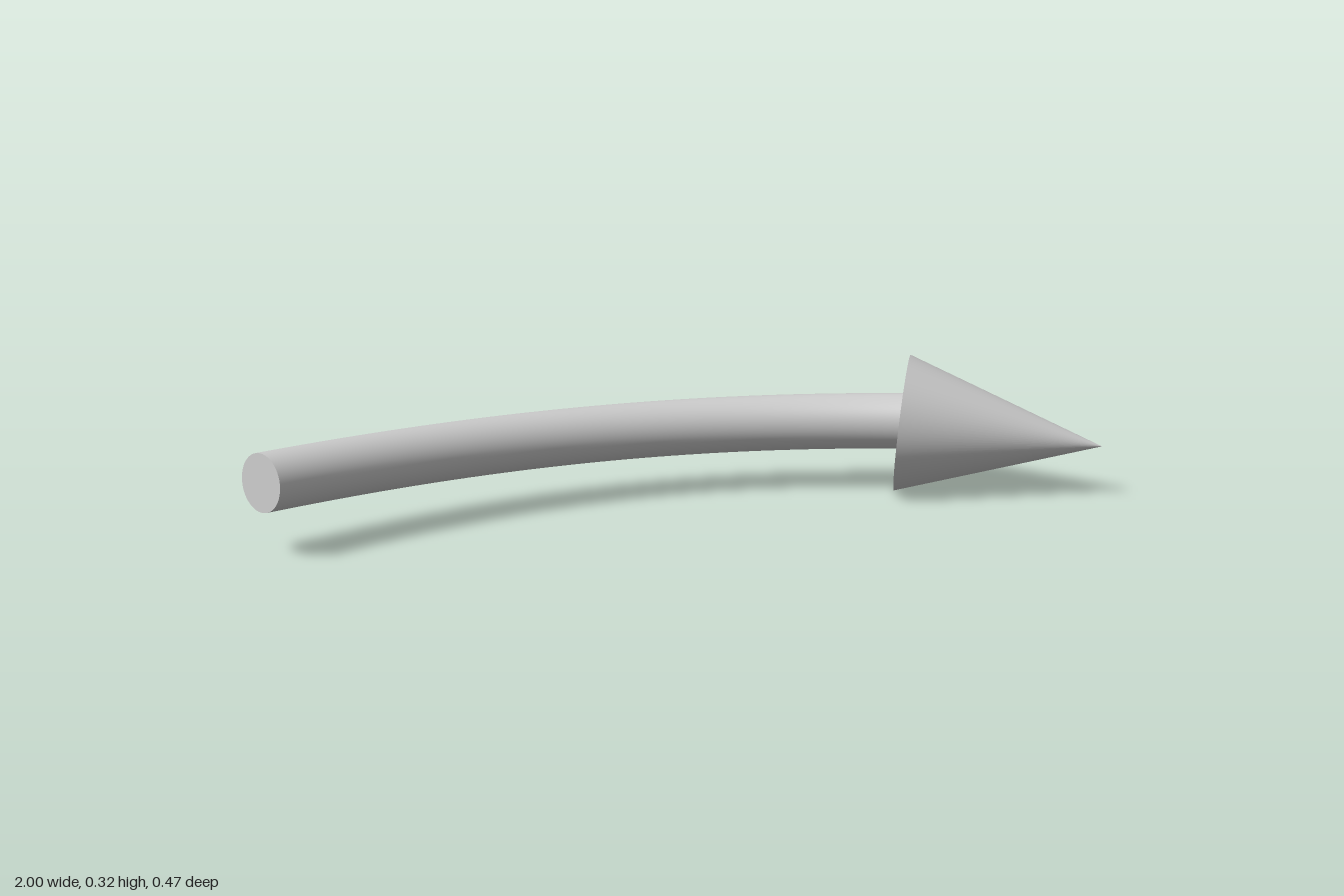
import * as THREE from 'three';

export function createModel() {
  const model = new THREE.Group();
  model.name = 'curvedArrow';
  const material = new THREE.MeshStandardMaterial({ color: 0xcccccc });

  const add = (name, geometry, position, target) => {
    const mesh = new THREE.Mesh(geometry, material);
    mesh.name = name;
    if (position) {
      mesh.position.copy(position);
      mesh.lookAt(target);
    }
    model.add(mesh);
    return mesh;
  };

  // Bowed round shaft, its front end sunk slightly into the head
  const radius = 0.066;
  const path = new THREE.QuadraticBezierCurve3(
    new THREE.Vector3(-0.972, 0.169, 0.06),
    new THREE.Vector3(-0.06, 0.146, -0.37),
    new THREE.Vector3(0.603, 0.166, 0.009)
  );
  add('shaft', new THREE.TubeGeometry(path, 48, radius, 48, false));

  // Flat cap closing the tail
  const tail = path.getPoint(0);
  const behindTail = tail.clone().sub(path.getTangent(0));
  add('tailCap', new THREE.CircleGeometry(radius, 48), tail, behindTail);

  // Cone head, slightly wider than tall, dipping toward the tip
  const base = new THREE.Vector3(0.59, 0.162, 0.004);
  const tip = new THREE.Vector3(1, 0.12, 0.236);
  const length = base.distanceTo(tip);
  const cone = new THREE.ConeGeometry(1, length, 96);
  cone.translate(0, length / 2, 0).rotateX(Math.PI / 2);
  add('arrowHead', cone, base, tip).scale.set(0.186, 0.161, 1);

  return model;
}
